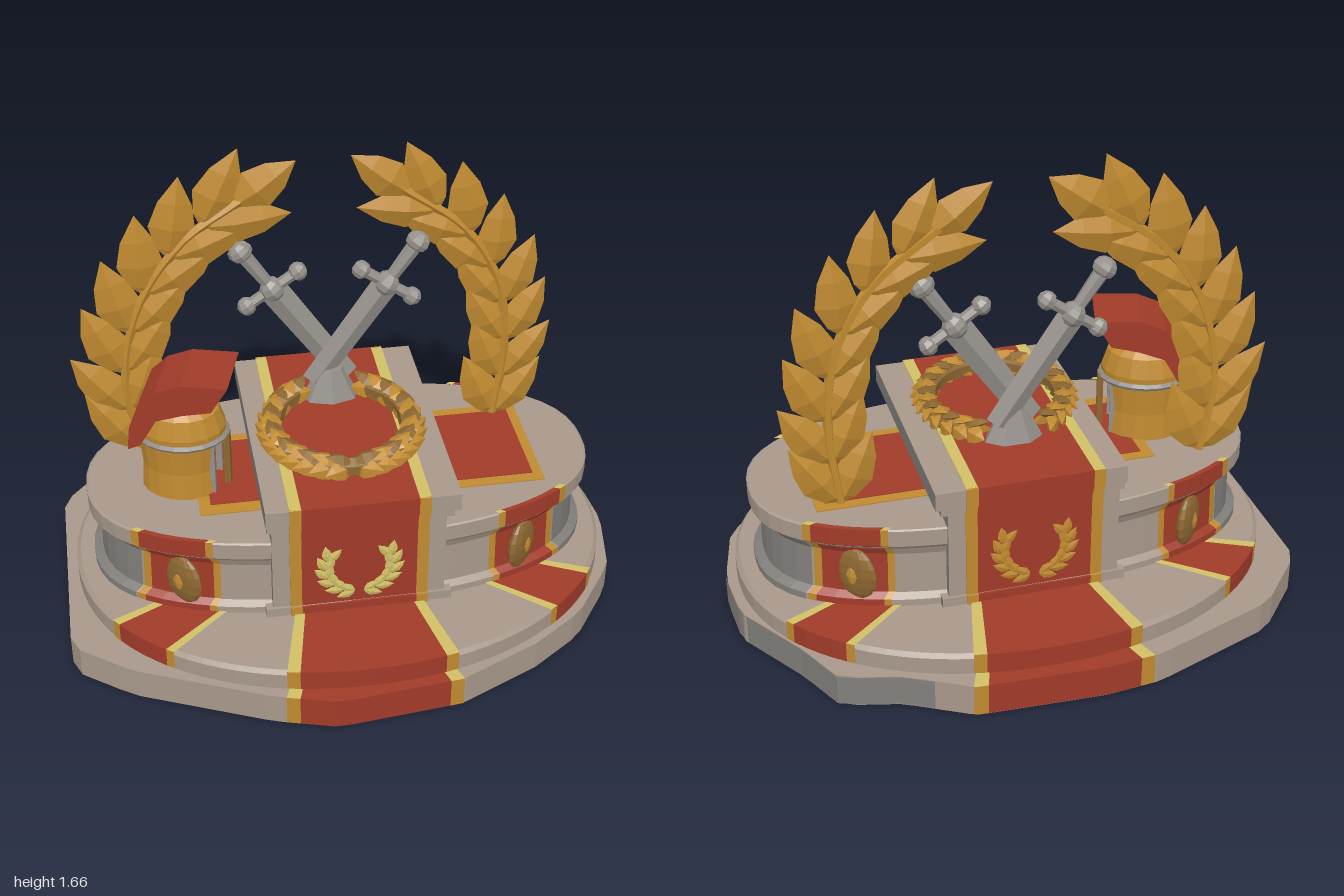
import * as THREE from 'three';

const mat = (name, color) => Object.assign(new THREE.MeshStandardMaterial({ color }), { name });
const V = (x, y, z = 0) => new THREE.Vector3(x, y, z);
const RAD = Math.PI / 180;

export function createModel() {
  const root = new THREE.Group();
  root.name = 'victoryPodium';
  const stone = mat('stone', 0xa8988a), grey = mat('greyStone', 0x827f7b), red = mat('redCloth', 0xa13b29);
  const gold = mat('gold', 0xc08a30), pale = mat('paleGold', 0xd0c066);
  const steel = mat('steel', 0x95908a), bronze = mat('bronze', 0x8c6731);

  // faceted mesh
  function add(name, geo, material, parent = root, pos = [0, 0, 0], rot = [0, 0, 0], scale = [1, 1, 1]) {
    const g = geo.index ? geo.toNonIndexed() : geo;
    g.computeVertexNormals();
    const m = new THREE.Mesh(g, material);
    m.name = name;
    m.position.set(...pos);
    m.rotation.set(...rot);
    m.scale.set(...scale);
    parent.add(m);
    return m;
  }
  // box given by its min and max corners
  function block(name, a, b, material) {
    const size = b.map((v, i) => v - a[i]);
    return add(name, new THREE.BoxGeometry(...size), material, root, a.map((v, i) => v + size[i] / 2));
  }

  // surface following an outline; profile rows are [scale, y, angular spread]
  function loft(at, profile, lo = 0, hi = 360, mid = 0) {
    const n = Math.max(4, Math.ceil((hi - lo) / 4)), pos = [], idx = [];
    profile.forEach(([s, y, w = 1], j) => {
      for (let i = 0; i <= n; i++) {
        const t = (mid + w * (lo + (hi - lo) * i / n)) * RAD, r = at(t) * s;
        pos.push(r * Math.cos(t), y, r * Math.sin(t));
        const a = j * (n + 1) + i, b = a + n + 1;
        if (i < n && j < profile.length - 1) idx.push(a, b, a + 1, a + 1, b, b + 1);
      }
    });
    const g = new THREE.BufferGeometry();
    g.setAttribute('position', new THREE.Float32BufferAttribute(pos, 3));
    g.setIndex(idx);
    return g;
  }
  const oval = (a, b, n) => t =>
    (Math.abs(Math.cos(t) / a) ** n + Math.abs(Math.sin(t) / b) ** n) ** (-1 / n);

  // hewn outline of the lowest step, x and z pairs
  const rim = [[1, .03], [.95, .29], [.78, .52], [.59, .65], [.3, .78], [-.13, .82], [-.34, .76], [-.8, .56], [-1, .41],
    [-1, -.4], [-.8, -.63], [-.34, -.8], [-.14, -.82], [.3, -.8], [.52, -.68], [.72, -.63], [.81, -.45], [.98, -.19]];
  const baseAt = t => {
    const dx = Math.cos(t), dz = Math.sin(t);
    for (let i = 0; i < rim.length; i++) {
      const [px, pz] = rim[i], [qx, qz] = rim[(i + 1) % rim.length];
      if (px * dz - pz * dx >= -1e-9 && dx * qz - dz * qx >= -1e-9 && px * dx + pz * dz > 0) {
        const ex = qx - px, ez = qz - pz;
        return (ex * pz - ez * px) / (ex * dz - ez * dx);
      }
    }
    return 1;
  };
  const stepAt = oval(.96, .76, 2.1), podiumAt = oval(.9, .45, 2.4);

  // steps and oval podium
  add('lowerStep', loft(baseAt, [[0, 0], [1, 0], [1, .115], [0, .115]]), stone);
  add('lowerStepGreySide', loft(baseAt, [[1.002, .003], [1.002, .113]], -60, 18), grey);
  add('upperStep', loft(stepAt, [[1, .11], [1, .175], [.985, .19], [0, .19]]), stone);
  const wall = [[.99, .19], [.99, .215], [.955, .235], [.95, .39], [.975, .42], [1, .435], [1, .495]];
  add('sidePodium', loft(podiumAt, [...wall, [.99, .5], [0, .5]]), stone);
  for (const mid of [0, 180])
    add('podiumGreyEnd', loft(podiumAt, wall.slice(0, 5).map(([s, y]) => [s + .003, y]), -20, 20, mid), grey);

  // draped cloth with borders on both edges
  function cloth(name, at, profile, mid, half, border) {
    const p = profile.map(([s, y, w]) => [s + .006, y + .005, w]);
    add(name, loft(at, p, -half, half, mid), red);
    for (const [lo, hi] of [[half, half + border], [-half - border, -half]]) {
      add(name + 'RiserBorder', loft(at, p.slice(0, -1), lo, hi, mid), gold);
      add(name + 'TreadBorder', loft(at, p.slice(-2), lo, hi, mid), pale);
    }
  }
  for (const mid of [90, 270]) {
    cloth('lowerCarpet', baseAt, [[1, 0], [1, .115], [.86, .115]], mid, 18, 3.2);
    cloth('upperCarpet', stepAt, [[1, .115], [1, .19], [.57, .19, 1.28]], mid, 18.5, 3.2);
  }
  for (const a of [33, 147, 213, 327]) {
    cloth('cornerCarpet', stepAt, [[1, .115], [1, .19], [.66, .19]], a, 6.5, 2);
    const b = a < 90 ? 30 : a < 180 ? 150 : a < 270 ? 210 : 330;
    cloth('podiumBanner', podiumAt, [...wall, [1, .5], [.97, .5]], b, 7.5, 1.8);
    // oval medallion on each banner
    const t = b * RAD, r = podiumAt(t) * .96, x = r * Math.cos(t), z = r * Math.sin(t);
    const yaw = Math.atan2(Math.cos(t) / .6, Math.sin(t) / .36);
    add('medallion', new THREE.SphereGeometry(1, 12, 8), bronze, root, [x, .315, z], [0, yaw, 0], [.085, .1, .028]);
    add('medallionBoss', new THREE.SphereGeometry(1, 8, 6), gold, root, [x, .315, z], [0, yaw, 0], [.04, .055, .034]);
  }
  // cloth panels on the podium tops
  block('leftTopBorder', [.3, .499, -.23], [.7, .504, .24], gold);
  block('leftTopPanel', [.3, .5, -.19], [.665, .507, .2], red);
  block('rightTopBorder', [-.52, .499, -.2], [-.3, .504, .25], gold);
  block('rightTopPanel', [-.48, .5, -.16], [-.3, .507, .2], red);

  // centre block
  const sides = [grey, grey, stone, stone, stone, stone];
  block('centreFoot', [-.325, .185, -.455], [.325, .225, .455], sides);
  block('centreBody', [-.3, .22, -.445], [.3, .59, .445], sides);
  block('centreNeck', [-.315, .555, -.452], [.325, .59, .452], sides);
  block('centreCap', [-.32, .585, -.462], [.345, .65, .462], sides);
  const hang = (name, x0, x1, material, topMaterial) => {
    block(name + 'Top', [x0, .648, -.465], [x1, .655, .465], topMaterial);
    for (const s of [1, -1]) for (const [y0, y1, z] of [[.19, .225, .457], [.22, .56, .447], [.555, .59, .454], [.585, .655, .464]])
      block(name, [x0, y0, s * z - .004], [x1, y1, s * z + .004], material);
  };
  hang('centreCarpet', -.2, .2, red, red);
  hang('carpetBorder', -.24, -.2, gold, pale);
  hang('carpetBorder', .2, .24, gold, pale);

  // pointed leaf with a raised midrib, base at p, pointing along dir, facing normal
  const leafProfile = [[0, 0], [.55, .12], [1, .38], [.72, .68], [0, 1]].map(p => new THREE.Vector2(...p));
  function leaf(parent, material, p, dir, normal, length, half, thick) {
    const m = add('leaf', new THREE.LatheGeometry(leafProfile, 4), material, parent);
    const y = dir.clone().normalize(), x = y.clone().cross(normal).normalize();
    m.quaternion.setFromRotationMatrix(new THREE.Matrix4().makeBasis(x, y, x.clone().cross(y)));
    m.scale.set(half, length, thick);
    m.position.copy(p);
  }
  const front = V(0, 0, 1);
  const turn = (v, a) => v.clone().applyAxisAngle(front, a);

  // upright laurel branches
  function branch(name, points, length, half) {
    const g = new THREE.Group();
    g.name = name;
    root.add(g);
    const curve = new THREE.CatmullRomCurve3(points.map(p => V(p[0], p[1], -.19)));
    add('stem', new THREE.TubeGeometry(curve, 20, .018, 5), gold, g);
    for (let i = 0; i < 7; i++) {
      const p = curve.getPointAt(i / 7), d = curve.getTangentAt(i / 7);
      for (const s of [1, -1]) leaf(g, gold, p, turn(d, s * .52), front, length, half, .026);
    }
    leaf(g, gold, curve.getPoint(.96), curve.getTangent(1), front, .27, half, .026);
  }
  branch('rightLaurel', [[-.69, .5], [-.73, .8], [-.66, 1.1], [-.5, 1.33], [-.3, 1.47]], .31, .08);
  branch('leftLaurel', [[.61, .5], [.64, .8], [.6, 1.08], [.47, 1.3], [.25, 1.47]], .29, .072);

  // flat laurel emblems on the front and back of the centre block
  for (const s of [1, -1]) {
    const g = new THREE.Group();
    g.name = 'laurelEmblem';
    g.position.set(0, .375, s * .451);
    root.add(g);
    for (const k of [1, -1]) for (let i = 0; i < 6; i++) {
      const a = (-82 + i * 20) * RAD, p = V(k * .115 * Math.cos(a), .11 * Math.sin(a));
      const d = V(-k * Math.sin(a), Math.cos(a));
      for (const q of [.45, -.45]) leaf(g, s > 0 ? pale : gold, p, turn(d, q), front, .068, .018, .005);
    }
  }

  // lying wreath on the centre block
  const wreath = new THREE.Group();
  wreath.name = 'lyingWreath';
  wreath.position.set(0, .69, .05);
  root.add(wreath);
  const ring = a => V(.24 * Math.cos(a), 0, .25 * Math.sin(a));
  const ringPath = new THREE.CatmullRomCurve3(Array.from({ length: 16 }, (_, i) => ring((-55 + i * 290 / 15) * RAD)));
  add('wreathCore', new THREE.TubeGeometry(ringPath, 32, .034, 6), bronze, wreath);
  for (const k of [1, -1]) for (let i = 0; i < 13; i++) {
    const a = (90 - i * 11.5) * RAD, p = ring(a), out = p.clone().normalize();
    p.x *= k;
    out.x *= k;
    const d = V(k * Math.sin(a), 0, -Math.cos(a));
    leaf(wreath, gold, p, d.clone().addScaledVector(out, .45), out.clone().add(V(0, .6, 0)), .11, .036, .022);
    leaf(wreath, i % 2 ? bronze : gold, p, d.clone().addScaledVector(out, -.4), out.clone().negate().add(V(0, .7, 0)), .1, .034, .02);
    leaf(wreath, i % 2 ? gold : bronze, p.clone().add(V(0, .02, 0)), d.clone().add(V(0, .3, 0)), V(0, 1, 0), .1, .036, .018);
  }

  // crossed swords
  for (const s of [1, -1]) {
    const g = new THREE.Group();
    g.name = s > 0 ? 'leftSword' : 'rightSword';
    g.position.set(s * .2, 1.11, -.19 + s * .012);
    g.rotation.z = -s * .6;
    root.add(g);
    add('blade', new THREE.CylinderGeometry(.052, .045, .47, 4), steel, g, [0, -.23, 0], [0, 0, 0], [1, 1, .45]);
    add('guard', new THREE.CylinderGeometry(.02, .02, .21, 6), steel, g, [0, 0, 0], [0, 0, Math.PI / 2]);
    add('hub', new THREE.SphereGeometry(.045, 8, 6), steel, g);
    for (const e of [-.11, .11]) add('guardKnob', new THREE.SphereGeometry(.034, 7, 5), steel, g, [e, 0, 0]);
    add('grip', new THREE.CylinderGeometry(.028, .022, .17, 7), steel, g, [0, .09, 0]);
    add('pommel', new THREE.SphereGeometry(.045, 8, 6), steel, g, [0, .19, 0], [0, 0, 0], [1, .85, .9]);
  }
  add('swordMount', new THREE.CylinderGeometry(.045, .11, .13, 7), steel, root, [0, .71, -.18], [0, 0, 0], [1, 1, .6]);

  // crested helmet, its face towards local +x
  const helmet = new THREE.Group();
  helmet.name = 'helmet';
  helmet.position.set(-.555, .5, .03);
  helmet.rotation.y = -.28;
  root.add(helmet);
  const shell = new THREE.Group();
  shell.name = 'helmetShell';
  shell.scale.z = .82;
  helmet.add(shell);
  const lathe = (pts, ...rest) => new THREE.LatheGeometry(pts.map(p => new THREE.Vector2(...p)), ...rest);
  add('dome', lathe([[.153, .2], [.157, .25], [.135, .32], [.075, .365], [0, .38]], 16), gold, shell);
  add('cheeks', lathe([[.135, .22], [.12, .12], [.125, 0], [.15, 0], [.142, .1], [.153, .22]], 14, Math.PI / 2 + .6, 2 * Math.PI - 1.2), gold, shell);
  add('browBand', new THREE.TorusGeometry(.155, .013, 5, 20), steel, shell, [0, .22, 0], [Math.PI / 2, 0, 0]);
  add('noseGuard', new THREE.BoxGeometry(.022, .22, .035), bronze, shell, [.158, .11, 0]);
  for (const s of [1, -1])
    add('cheekTrim', new THREE.BoxGeometry(.022, .22, .022), steel, shell, [.115, .11, s * .08]);
  const crest = new THREE.Shape([[-.165, .2], [-.155, .29], [-.12, .38], [-.06, .44], [.03, .475], [.19, .475],
    [.13, .375], [.03, .355], [-.06, .325], [-.12, .22]].map(p => new THREE.Vector2(...p)));
  add('crest', new THREE.ExtrudeGeometry(crest, { depth: .23, bevelEnabled: false }), red, helmet, [0, 0, -.115]);
  return root;
}
